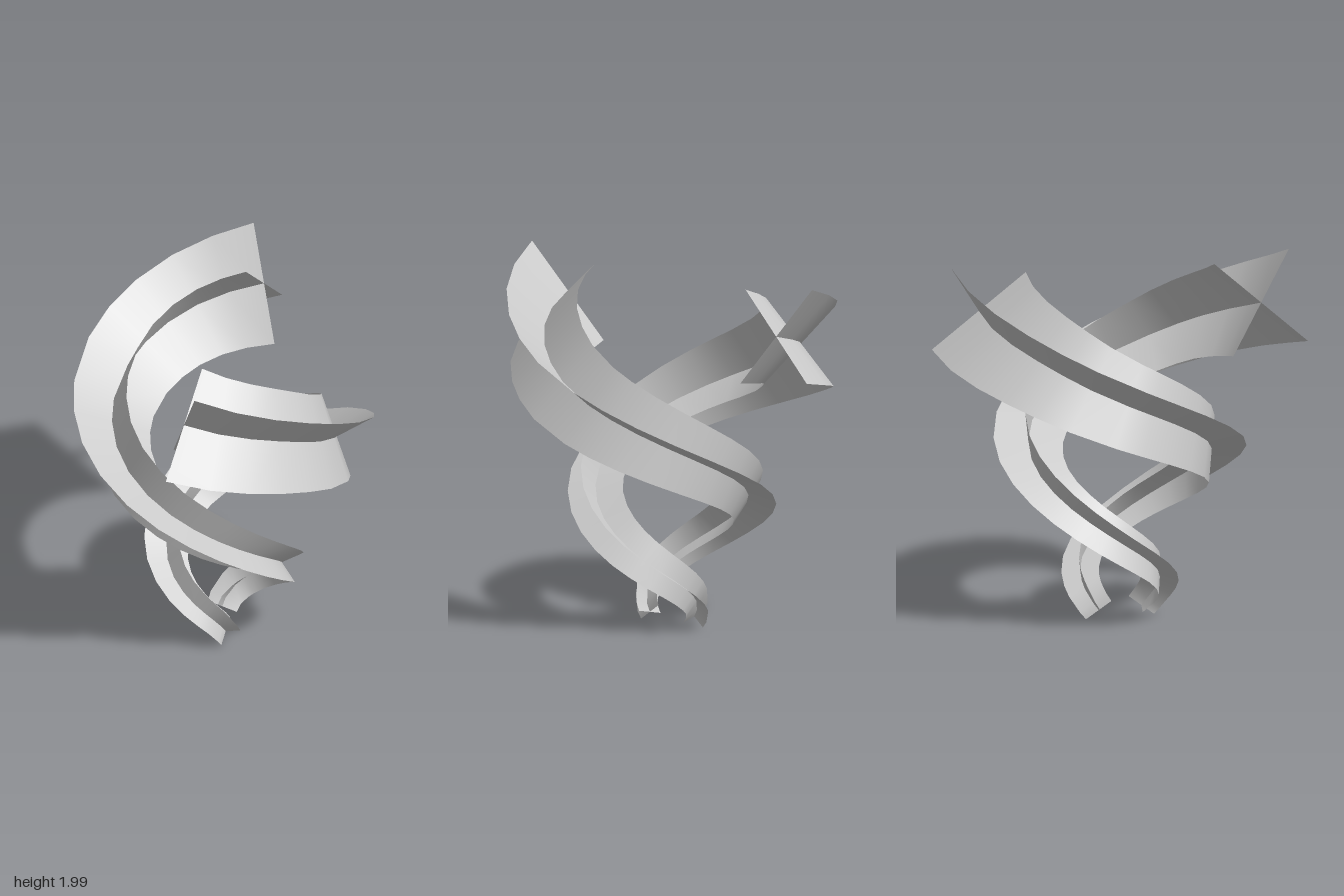
import * as THREE from 'three';

const rad = THREE.MathUtils.degToRad;

// Spine stations from top to bottom:
// turn, height, distance from axis, roll of the cross, half width of the ribbons
const stations = [
  [2.6, 1.71, 0.77, 60, 0.333],
  [45, 1.535, 0.69, 48, 0.288],
  [90, 1.305, 0.63, 36, 0.247],
  [180, 0.87, 0.48, 4, 0.178],
  [270, 0.46, 0.33, -46, 0.13],
  [360, 0.14, 0.19, -94, 0.095],
  [383, 0.035, 0.13, -114, 0.085],
];
const spine = new THREE.CatmullRomCurve3(
  stations.map(([a, y, r]) => new THREE.Vector3(rad(a), y, r)), false, 'catmullrom', 0.5);
const cross = new THREE.CatmullRomCurve3(
  stations.map(([, , , roll, size]) => new THREE.Vector3(rad(roll), size, 0)), false, 'catmullrom', 0.5);

function spinePoint(t) {
  const p = spine.getPoint(t);
  return new THREE.Vector3(p.z * Math.sin(p.x), p.y, p.z * Math.cos(p.x));
}

// One section for about every 15 degrees of turn
function sectionParameters() {
  const n = stations.length - 1, list = [];
  for (let i = 0; i < n; i++) {
    const steps = Math.round((stations[i + 1][0] - stations[i][0]) / 15);
    for (let k = 0; k < steps; k++) list.push((i + k / steps) / n);
  }
  return [...list, 1];
}

// Centre and the two axes of the cross, square to the spine
function section(t) {
  const center = spinePoint(t);
  const tangent = spinePoint(Math.max(t - 0.004, 0)).sub(spinePoint(Math.min(t + 0.004, 1))).normalize();
  const out = new THREE.Vector3(center.x, 0, center.z).normalize();
  out.addScaledVector(tangent, -out.dot(tangent)).normalize();
  const up = new THREE.Vector3().crossVectors(tangent, out);
  const { x: roll, y: size } = cross.getPoint(t);
  return { center, out, up, size, roll };
}

// A ribbon along the spine: edge, spine, opposite edge
function ribbonGeometry(angle) {
  const positions = [], index = [];
  sectionParameters().forEach((t, i) => {
    const s = section(t), a = s.roll + angle;
    for (const side of [1, 0, -1]) {
      const p = s.center.clone()
        .addScaledVector(s.out, side * s.size * Math.cos(a))
        .addScaledVector(s.up, side * s.size * Math.sin(a));
      positions.push(p.x, p.y, p.z);
    }
    if (i === 0) return;
    for (let k = 0; k < 2; k++) {
      const b = i * 3 + k, c = b - 3;
      index.push(c, b, c + 1, c + 1, b, b + 1);
    }
  });
  const geometry = new THREE.BufferGeometry();
  geometry.setAttribute('position', new THREE.Float32BufferAttribute(positions, 3));
  geometry.setIndex(index);
  geometry.computeVertexNormals();
  return geometry;
}

export function createModel() {
  const model = new THREE.Group();
  model.name = 'doubleSpiral';
  const material = new THREE.MeshStandardMaterial({ color: 0xcccccc, side: THREE.DoubleSide });
  const ribbons = { firstRibbon: ribbonGeometry(0), crossingRibbon: ribbonGeometry(rad(80)) };

  // Two equal strands, half a turn apart
  for (const [name, turn] of [['frontStrand', 0], ['backStrand', Math.PI]]) {
    const strand = new THREE.Group();
    strand.name = name;
    strand.rotation.y = turn;
    for (const [part, geometry] of Object.entries(ribbons)) {
      const mesh = new THREE.Mesh(geometry, material);
      mesh.name = part;
      strand.add(mesh);
    }
    model.add(strand);
  }
  return model;
}
